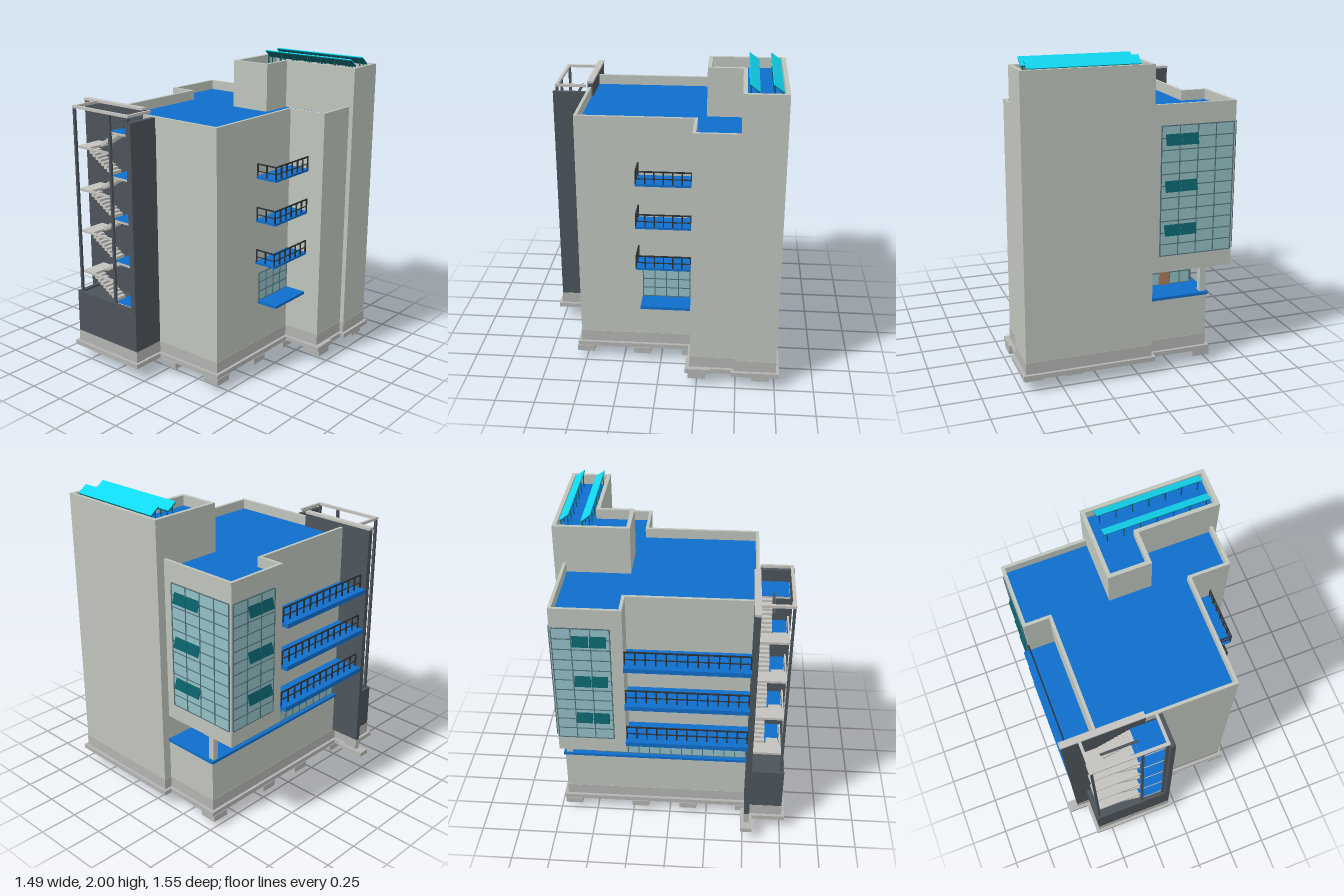
import * as THREE from 'three';

const mat = (color) => new THREE.MeshStandardMaterial({ color });
const M = {
  wall: mat(0xbfc4bc), dark: mat(0x4c545b), blue: mat(0x0f6ecb), cyan: mat(0x10d8f2),
  teal: mat(0x0a5f68), glass: mat(0x93c0c6), frame: mat(0x55727a), rail: mat(0x2b3034),
  door: mat(0xa67c5f), base: mat(0xb3b3b1), under: mat(0x25292d), light: mat(0xc4c2bd),
};

// Box from its limits on each axis
function box(parent, name, m, x0, x1, y0, y1, z0, z1) {
  const mesh = new THREE.Mesh(new THREE.BoxGeometry(x1 - x0, y1 - y0, z1 - z0), m);
  mesh.position.set((x0 + x1) / 2, (y0 + y1) / 2, (z0 + z1) / 2);
  mesh.name = name;
  parent.add(mesh);
  return mesh;
}

// Move every side of a right-angled [x, z] outline inwards by t
function inset(pts, t) {
  const n = pts.length;
  const normal = (a, b) => [Math.sign(b[1] - a[1]), -Math.sign(b[0] - a[0])];
  return pts.map((p, i) => {
    const a = normal(pts[(i + n - 1) % n], p), b = normal(p, pts[(i + 1) % n]);
    return [p[0] + t * (a[0] + b[0]), p[1] + t * (a[1] + b[1])];
  });
}

// Upright prism over an [x, z] outline, hollow if ring > 0
function prism(parent, name, m, pts, y0, y1, ring = 0) {
  const vec = (l) => l.map(([x, z]) => new THREE.Vector2(x, -z));
  const shape = new THREE.Shape(vec(pts));
  if (ring) shape.holes.push(new THREE.Path(vec(inset(pts, ring))));
  const geo = new THREE.ExtrudeGeometry(shape, { depth: y1 - y0, bevelEnabled: false });
  geo.rotateX(-Math.PI / 2);
  const mesh = new THREE.Mesh(geo, m);
  mesh.position.y = y0;
  mesh.name = name;
  parent.add(mesh);
}

// Glass sheet with bars, built facing +z and centred on its base
function glazing(parent, name, w, h, cols, rows) {
  const g = new THREE.Group();
  g.name = name;
  box(g, 'glassPane', M.glass, -w / 2, w / 2, 0, h, -0.005, 0.003);
  for (let i = 0; i <= cols; i++) {
    const x = -w / 2 + (w * i) / cols;
    box(g, 'mullion', M.frame, x - 0.003, x + 0.003, 0, h, 0, 0.007);
  }
  for (let i = 0; i <= rows; i++) {
    const y = (h * i) / rows;
    box(g, 'transom', M.frame, -w / 2, w / 2, y - 0.003, y + 0.003, 0, 0.006);
  }
  parent.add(g);
  return g;
}

// Straight railing along x or z
function railing(parent, [xa, za], [xb, zb], y, h, n) {
  const r = 0.004;
  for (const t of [0.45, 1])
    box(parent, 'handrail', M.rail, Math.min(xa, xb) - r, Math.max(xa, xb) + r,
      y + h * t - r, y + h * t + (t === 1 ? r : 0), Math.min(za, zb) - r, Math.max(za, zb) + r);
  for (let i = 0; i <= n; i++) {
    const x = xa + ((xb - xa) * i) / n, z = za + ((zb - za) * i) / n;
    box(parent, 'railPost', M.rail, x - r, x + r, y, y + h, z - r, z + r);
  }
}

function buildStairs(root) {
  const g = new THREE.Group();
  g.name = 'stairTower';
  root.add(g);
  // back wall with a gap for the roof door, base and closed side
  box(g, 'stairBackWall', M.dark, -0.685, -0.16, 0.19, 1.73, 0.505, 0.54);
  box(g, 'stairBackWallLow', M.dark, -0.16, -0.055, 0.19, 1.635, 0.507, 0.54);
  box(g, 'wallCoping', M.light, -0.69, -0.16, 1.73, 1.745, 0.502, 0.543);
  box(g, 'stairBase', M.dark, -0.595, -0.055, 0.19, 0.465, 0.54, 0.755);
  box(g, 'stairSideWall', M.dark, -0.085, -0.055, 0.465, 1.70, 0.54, 0.755);
  box(g, 'baseParapetFront', M.dark, -0.595, -0.055, 0.465, 0.48, 0.735, 0.755);
  box(g, 'baseParapetSide', M.dark, -0.595, -0.57, 0.465, 0.48, 0.54, 0.755);
  for (const x of [-0.57, -0.255, -0.1])
    box(g, 'stairPost', M.dark, x - 0.008, x + 0.008, 0.47, 1.73, 0.725, 0.742);
  box(g, 'topBeamFront', M.light, -0.58, -0.085, 1.725, 1.742, 0.725, 0.745);
  for (const x of [-0.57, -0.095])
    box(g, 'topBeamSide', M.light, x - 0.009, x + 0.009, 1.725, 1.742, 0.54, 0.745);
  // landings, doors and the two flights of each storey
  for (let i = 0; i <= 4; i++) {
    const y = 0.48 + 0.285 * i;
    box(g, 'landing', M.light, -0.262, -0.085, y - 0.018, y - 0.004, 0.54, 0.725);
    box(g, 'landingFloor', M.blue, -0.262, -0.085, y - 0.004, y, 0.54, 0.722);
    if (i === 4) break;
    const mid = y + 0.145;
    box(g, 'door', M.door, -0.175, -0.105, y, y + 0.175, 0.54, 0.544);
    box(g, 'midLanding', M.light, -0.565, -0.465, mid - 0.015, mid, 0.54, 0.725);
    box(g, 'landingBeam', M.light, -0.565, -0.262, mid - 0.015, mid, 0.715, 0.725);
    const steps = 8, dx = 0.203 / steps;
    for (let s = 0; s < steps; s++) {
      const x = -0.465 + dx * s, drop = (0.14 * (s + 1)) / (steps + 1);
      box(g, 'lowerStep', M.light, x, x + dx, mid - drop - 0.024, mid - drop, 0.637, 0.715);
      box(g, 'upperStep', M.light, x, x + dx, mid + drop - 0.024, mid + drop, 0.54, 0.617);
    }
  }
  box(g, 'topGuard', M.dark, -0.48, -0.24, 1.62, 1.632, 0.62, 0.634);
}

function buildBalconies(root) {
  const g = new THREE.Group();
  g.name = 'balconies';
  root.add(g);
  for (const y of [0.76, 1.045, 1.33]) {
    box(g, 'rightBalcony', M.blue, 0.435, 0.587, y - 0.015, y, -0.205, 0.148);
    railing(g, [0.582, -0.2], [0.582, 0.143], y, 0.08, 6);
    railing(g, [0.442, 0.143], [0.582, 0.143], y, 0.08, 2);
    box(g, 'leftBalcony', M.blue, -0.685, -0.475, y - 0.03, y, -0.263, 0.505);
    railing(g, [-0.642, -0.258], [-0.642, 0.5], y, 0.09, 12);
  }
  box(g, 'rightLedge', M.blue, 0.435, 0.585, 0.46, 0.478, -0.2, 0.12);
  const win = glazing(g, 'rightWindow', 0.305, 0.19, 4, 3);
  win.position.set(0.438, 0.48, -0.037);
  win.rotation.y = Math.PI / 2;
}

function buildBay(root) {
  const g = new THREE.Group();
  g.name = 'glazedBay';
  root.add(g);
  const back = glazing(g, 'bayBackGlass', 0.475, 0.82, 4, 11);
  back.position.set(-0.388, 0.755, -0.702);
  back.rotation.y = Math.PI;
  const side = glazing(g, 'baySideGlass', 0.35, 0.82, 3, 11);
  side.position.set(-0.642, 0.755, -0.515);
  side.rotation.y = -Math.PI / 2;
  // tilted opening windows
  for (const y of [0.92, 1.2, 1.49]) {
    for (const x of [-0.335, -0.228]) {
      const w = box(g, 'openWindow', M.teal, x - 0.052, x + 0.052, y - 0.035, y + 0.035, -0.717, -0.712);
      w.rotation.x = 0.3;
    }
    for (const z of [-0.517, -0.412]) {
      const w = box(g, 'openWindow', M.teal, -0.657, -0.652, y - 0.035, y + 0.035, z - 0.05, z + 0.05);
      w.rotation.z = -0.3;
    }
  }
  // terrace under the bay
  box(g, 'terraceFloor', M.blue, -0.485, -0.085, 0.462, 0.48, -0.71, -0.5);
  box(g, 'terraceStrip', M.blue, -0.485, -0.45, 0.462, 0.48, -0.5, 0.505);
  box(g, 'terraceColumn', M.wall, -0.475, -0.435, 0.48, 0.65, -0.69, -0.65);
  const rear = glazing(g, 'terraceGlass', 0.35, 0.16, 5, 2);
  rear.position.set(-0.268, 0.48, -0.503);
  rear.rotation.y = Math.PI;
  box(g, 'terraceDoor', M.door, -0.3, -0.23, 0.48, 0.635, -0.515, -0.505);
  const strip = glazing(g, 'sideStripGlass', 0.99, 0.16, 14, 2);
  strip.position.set(-0.453, 0.48, 0.005);
  strip.rotation.y = -Math.PI / 2;
}

function buildSolarPanels(root) {
  for (const z of [-0.555, -0.69]) {
    const g = new THREE.Group();
    g.name = 'solarPanel';
    root.add(g);
    const p = box(g, 'panelFace', M.cyan, -0.01, 0.675, 1.976, 1.982, z - 0.037, z + 0.037);
    p.rotation.x = -0.64;
    const u = box(g, 'panelBack', M.teal, -0.01, 0.675, 1.97, 1.976, z - 0.037, z + 0.037);
    u.rotation.x = -0.64;
    for (let i = 0; i <= 6; i++) {
      const x = 0.01 + i * 0.107;
      box(g, 'panelLeg', M.teal, x - 0.003, x + 0.003, 1.89, 1.985, z + 0.018, z + 0.024);
      box(g, 'panelFoot', M.teal, x - 0.003, x + 0.003, 1.89, 1.955, z - 0.026, z - 0.02);
    }
  }
}

function buildFoundation(root, ground, tower, stair) {
  const g = new THREE.Group();
  g.name = 'foundation';
  root.add(g);
  for (const outline of [ground, tower, stair]) {
    prism(g, 'plinth', M.base, inset(outline, -0.002), 0.115, 0.19, 0.035);
    prism(g, 'floorUnderside', M.under, inset(outline, 0.01), 0.165, 0.188);
    prism(g, 'stripFooting', M.base, inset(outline, -0.022), 0.085, 0.115, 0.075);
  }
  box(g, 'wingPlinth', M.base, -0.685, -0.59, 0.115, 0.19, 0.505, 0.54);
  box(g, 'wingFooting', M.base, -0.745, -0.55, 0.085, 0.115, 0.485, 0.56);
  box(g, 'sideFooting', M.base, 0.6, 0.73, 0.085, 0.115, -0.34, -0.175);
  // cross beams and pads
  for (const z of [0.125, -0.2])
    box(g, 'crossBeam', M.base, -0.47, 0.43, 0.085, 0.14, z - 0.03, z + 0.03);
  for (const x of [-0.05, 0.2])
    box(g, 'longBeam', M.base, x - 0.03, x + 0.03, 0.085, 0.14, -0.7, 0.53);
  const pads = [[-0.445, 0.505], [0.405, 0.505], [-0.445, 0.125], [0.05, 0.125], [0.405, 0.125],
    [-0.445, -0.2], [0.405, -0.2], [0.67, -0.25], [-0.445, -0.66], [0.05, 0.505], [0.67, -0.66], [0.405, -0.66]];
  for (const [x, z] of pads)
    box(g, 'footingPad', M.base, x - 0.057, x + 0.057, 0.045, 0.086, z - 0.057, z + 0.057);
  box(g, 'liftPit', M.base, -0.07, 0.18, 0.04, 0.17, -0.5, -0.28);
  box(g, 'liftPitPad', M.base, -0.105, 0.215, 0.0, 0.04, -0.535, -0.245);
}

export function createModel() {
  const root = new THREE.Group();
  root.name = 'building';
  // outlines as [x, z], starting at the front left corner
  const east = [[0.435, 0.535], [0.435, -0.205], [0.695, -0.205], [0.695, -0.7]];
  const upper = [[-0.475, 0.535], ...east, [-0.64, -0.7], [-0.64, -0.265], [-0.475, -0.265]];
  const ground = [[-0.475, 0.535], ...east, [-0.475, -0.7]];
  const middle = [[-0.45, 0.535], ...east, [-0.08, -0.7], [-0.08, -0.5], [-0.45, -0.5]];
  const tower = [[-0.085, -0.27], [0.195, -0.27], [0.195, -0.49], [0.725, -0.49], [0.725, -0.755], [-0.085, -0.755]];
  const stair = [[-0.595, 0.755], [-0.055, 0.755], [-0.055, 0.53], [-0.595, 0.53]];

  prism(root, 'groundWalls', M.wall, ground, 0.19, 0.47);
  prism(root, 'recessedWalls', M.wall, middle, 0.47, 0.645);
  prism(root, 'upperWalls', M.wall, upper, 0.645, 1.63);
  prism(root, 'parapet', M.wall, upper, 1.63, 1.705, 0.02);
  prism(root, 'roof', M.blue, inset(upper, 0.02), 1.63, 1.64);
  prism(root, 'towerWalls', M.wall, tower, 0.19, 1.88);
  prism(root, 'towerParapet', M.wall, tower, 1.88, 1.955, 0.025);
  prism(root, 'towerRoof', M.blue, inset(tower, 0.025), 1.88, 1.89);

  buildFoundation(root, ground, tower, stair);
  buildStairs(root);
  buildBalconies(root);
  buildBay(root);
  buildSolarPanels(root);
  return root;
}
